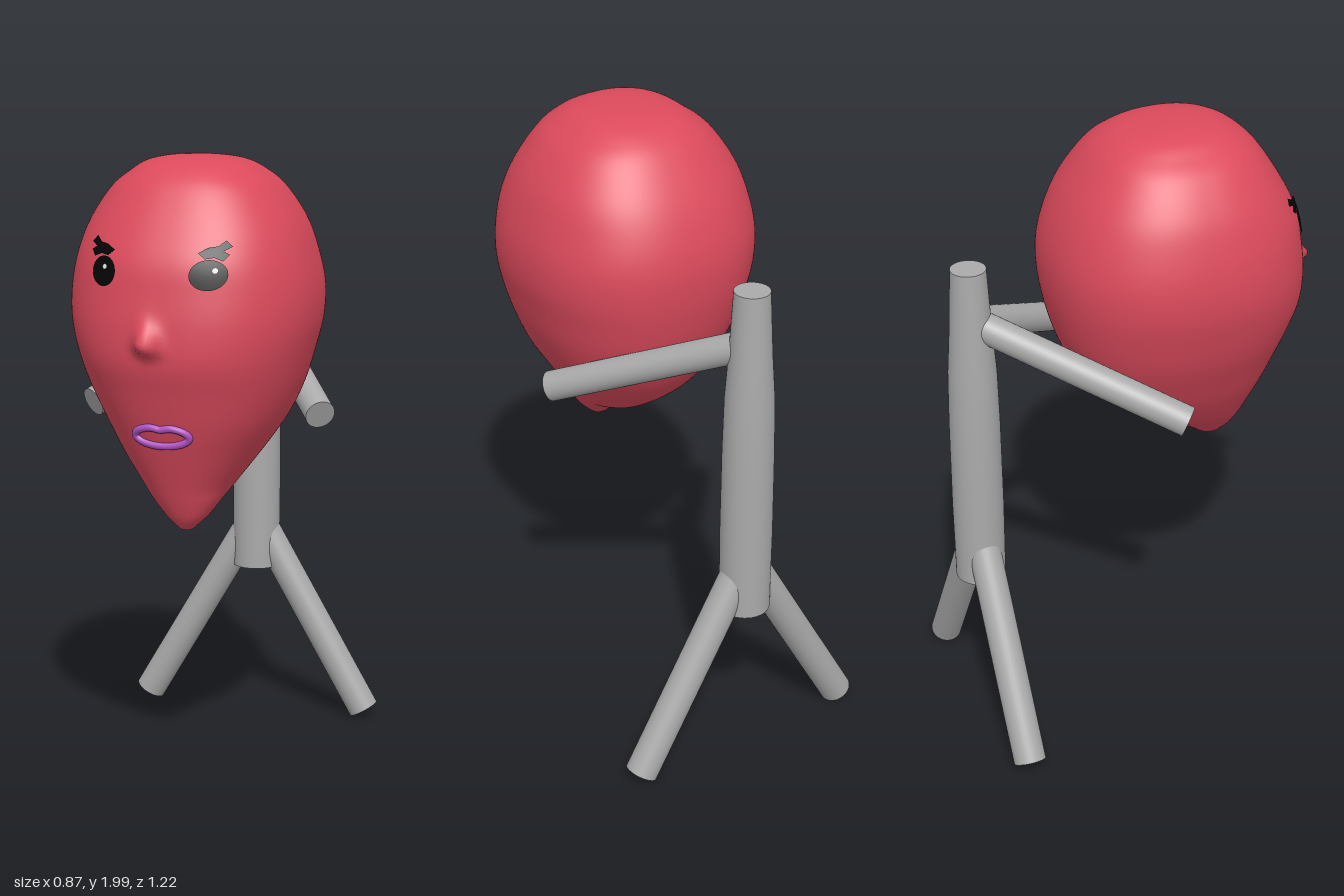
import * as THREE from 'three';
import { mergeVertices } from 'three/addons/utils/BufferGeometryUtils.js';

const mat = (name, color) => Object.assign(new THREE.MeshStandardMaterial({ color }), { name });

// head outline, top to chin: y, right x, left x, front z, back z
const OUTLINE = [
  [2.0, 0, 0, 0.18, 0.18], [1.995, -0.08, 0.08, 0.24, 0.08], [1.98, -0.15, 0.15, 0.3, -0.01],
  [1.95, -0.2, 0.205, 0.355, -0.075], [1.9, -0.26, 0.265, 0.405, -0.13],
  [1.8, -0.325, 0.33, 0.47, -0.2], [1.7, -0.36, 0.365, 0.52, -0.245],
  [1.6, -0.378, 0.385, 0.54, -0.268], [1.5, -0.375, 0.383, 0.552, -0.267],
  [1.4, -0.35, 0.36, 0.55, -0.25], [1.3, -0.315, 0.33, 0.52, -0.22],
  [1.2, -0.265, 0.285, 0.488, -0.175], [1.1, -0.21, 0.22, 0.45, -0.1],
  [1.0, -0.14, 0.148, 0.41, 0.02], [0.95, -0.098, 0.115, 0.39, 0.13],
  [0.9, -0.052, 0.08, 0.367, 0.21], [0.87, -0.02, 0.05, 0.345, 0.25],
  [0.855, -0.003, 0.032, 0.325, 0.275], [0.85, 0.015, 0.015, 0.3, 0.3],
];
const spline = (a, b, c) => new THREE.CatmullRomCurve3(
  OUTLINE.map((k) => new THREE.Vector3(k[a], k[b], k[c])), false, 'catmullrom');
const widths = spline(0, 1, 2);
const depths = spline(0, 3, 4);
const POWER = 2.3; // slightly squared cross-section

function section(t) {
  const p = widths.getPoint(t), q = depths.getPoint(t);
  return { y: p.x, cx: (p.y + p.z) / 2, w: (p.z - p.y) / 2, cz: (q.y + q.z) / 2, d: (q.y - q.z) / 2 };
}

// pointed nose, long bridge above and short underside
function noseBump(x, y) {
  const dx = (x + 0.03) / 0.032, dy = (y - 1.46) / (y > 1.46 ? 0.055 : 0.025);
  return 0.064 * Math.exp(-dx * dx - dy * dy);
}

// front surface of the face at x, y
function faceZ(x, y) {
  let lo = 0, hi = 1;
  for (let i = 0; i < 30; i++) {
    const m = (lo + hi) / 2;
    if (section(m).y > y) lo = m; else hi = m;
  }
  const s = section(lo);
  const u = Math.min(1, Math.abs((x - s.cx) / s.w));
  return s.cz + s.d * Math.pow(1 - Math.pow(u, POWER), 1 / POWER) + noseBump(x, y);
}

function headGeometry() {
  const rows = 120, cols = 160, pos = [], idx = [];
  const sp = (v) => Math.sign(v) * Math.pow(Math.abs(v), 2 / POWER);
  for (let i = 0; i <= rows; i++) {
    const s = section(i / rows);
    for (let j = 0; j < cols; j++) {
      const a = (j / cols) * Math.PI * 2;
      const x = s.cx + s.w * sp(Math.sin(a));
      let z = s.cz + s.d * sp(Math.cos(a));
      if (Math.cos(a) > 0) z += noseBump(x, s.y);
      pos.push(x, s.y, z);
      if (i < rows) {
        const k = (j + 1) % cols, r = i * cols, n = r + cols;
        idx.push(r + j, n + j, n + k, r + j, n + k, r + k);
      }
    }
  }
  const g = new THREE.BufferGeometry();
  g.setAttribute('position', new THREE.Float32BufferAttribute(pos, 3));
  g.setIndex(idx);
  const merged = mergeVertices(g, 1e-5);
  merged.computeVertexNormals();
  return merged;
}

// lays a flat geometry on the face
function drape(geo, cx, cy, lift) {
  const p = geo.attributes.position;
  for (let i = 0; i < p.count; i++) {
    const x = p.getX(i) + cx, y = p.getY(i) + cy;
    p.setXYZ(i, x, y, faceZ(x, y) + lift);
  }
  geo.computeVertexNormals();
  return geo;
}

export function createModel() {
  const red = mat('skin red', 0xdc4a5c), grey = mat('body grey', 0xaaaaaa);
  const black = mat('eye black', 0x050505), white = mat('highlight white', 0xf4f4f4);
  const purple = mat('lip purple', 0xb455c8);
  black.side = THREE.DoubleSide;
  const model = new THREE.Group();
  const add = (name, geo, material, parent = model) => {
    const m = new THREE.Mesh(geo, material);
    m.name = name;
    parent.add(m);
    return m;
  };

  // head
  const head = new THREE.Group();
  head.name = 'head';
  model.add(head);
  add('face', headGeometry(), red, head);

  // eyes with ragged brows
  const eyes = [
    { side: 'right', x: -0.182, rx: 0.042, s: -1 },
    { side: 'left', x: 0.147, rx: 0.055, s: 1 },
  ];
  for (const e of eyes) {
    const disc = new THREE.RingGeometry(0.0001, 1, 32, 5).scale(e.rx, 0.044, 1);
    add(e.side + 'Eye', drape(disc, e.x, 1.672, 0.005), black, head);
    const spot = new THREE.CircleGeometry(0.008, 12);
    add(e.side + 'EyeHighlight', drape(spot, e.x + (e.s < 0 ? 0.005 : 0.02), 1.686, 0.009), white, head);
    const brow = new THREE.Shape([
      [-0.042, 0.005], [-0.02, -0.012], [0.005, -0.008], [0.03, -0.018], [0.046, 0.0], [0.028, 0.01],
      [0.05, 0.022], [0.032, 0.04], [0.012, 0.024], [-0.015, 0.02],
    ].map(([x, y]) => new THREE.Vector2(x * e.s, y)));
    add(e.side + 'Brow', drape(new THREE.ShapeGeometry(brow), e.x + 0.008 * e.s, 1.73, 0.007), black, head);
  }

  // open lips, dipped at the top centre
  const lip = [];
  for (let i = 0; i < 32; i++) {
    const a = (i / 32) * Math.PI * 2;
    const x = -0.01 + 0.086 * Math.cos(a);
    const dip = Math.sin(a) > 0 ? 0.008 * Math.exp(-Math.pow(Math.cos(a) / 0.25, 2)) : 0;
    const y = 1.178 + 0.031 * Math.sin(a) - dip;
    lip.push(new THREE.Vector3(x, y, faceZ(x, y)));
  }
  add('lips', new THREE.TubeGeometry(new THREE.CatmullRomCurve3(lip, true), 96, 0.012, 10, true), purple, head);

  // torso, narrowing at the shoulders
  const profile = [[0, 0.53], [0.08, 0.53], [0.08, 0.53], [0.082, 0.8], [0.08, 1.1], [0.076, 1.28],
    [0.066, 1.42], [0.055, 1.63], [0.055, 1.63], [0, 1.63]].map(([r, y]) => new THREE.Vector2(r, y));
  add('torso', new THREE.LatheGeometry(profile, 40), grey).position.z = -0.525;

  // arms and legs
  const limb = (name, from, to, r) => {
    const a = new THREE.Vector3(...from), b = new THREE.Vector3(...to);
    const m = add(name, new THREE.CylinderGeometry(r, r, a.distanceTo(b), 32), grey);
    m.position.copy(a).add(b).multiplyScalar(0.5);
    m.quaternion.setFromUnitVectors(new THREE.Vector3(0, 1, 0), b.sub(a).normalize());
  };
  limb('leftArm', [0, 1.45, -0.52], [0.362, 1.18, 0.015], 0.048);
  limb('rightArm', [0, 1.45, -0.52], [-0.397, 1.18, 0.02], 0.048);
  for (const s of [-1, 1]) {
    limb(s > 0 ? 'leftLeg' : 'rightLeg', [0, 0.71, -0.525], [0.392 * s, 0.035, -0.525], 0.052);
  }
  return model;
}
